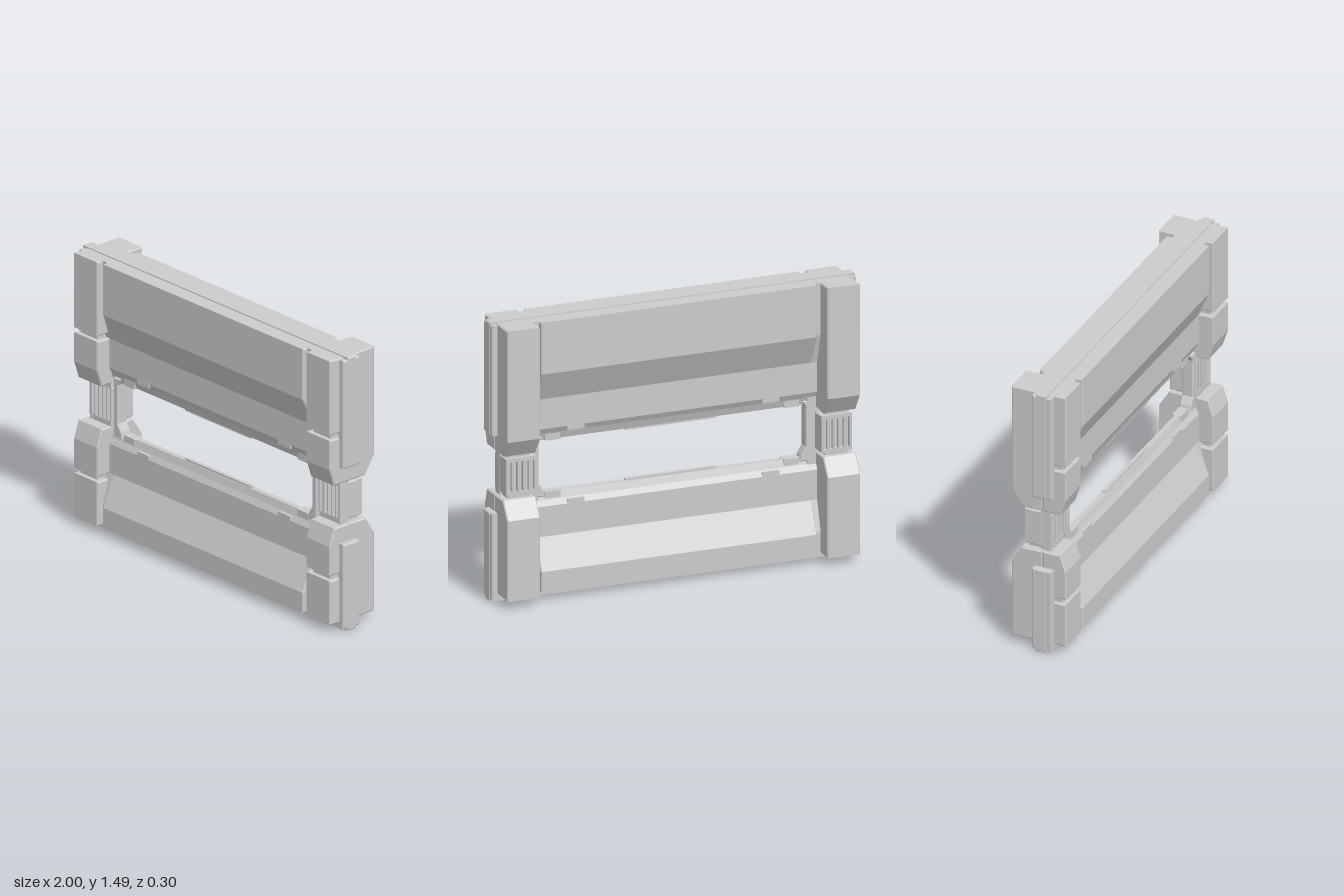
import * as THREE from 'three';

const MID = 0.6825; // height of the opening's centre line
const mat = new THREE.MeshStandardMaterial({ color: 0xcccccc });

// Side profile of [z, distance from centre line] swept along x with a small bevel
function sweep(parent, name, profile, x0, x1, dir = 1, b = 0.006) {
  const shape = new THREE.Shape(profile.map(([z, d]) => new THREE.Vector2(-z, MID + dir * d)));
  const geo = new THREE.ExtrudeGeometry(shape, {
    depth: x1 - x0 - 2 * b, bevelEnabled: b > 0, bevelThickness: b,
    bevelSize: b, bevelOffset: -b, bevelSegments: 1,
  });
  geo.translate(0, 0, x0 + b).rotateY(Math.PI / 2);
  const mesh = new THREE.Mesh(geo, mat);
  mesh.name = name;
  parent.add(mesh);
}

const rect = (z0, z1, d0, d1) => [[z0, d0], [z1, d0], [z1, d1], [z0, d1]];

// Sweeps the same profile on the left (+x) and right (-x)
function pair(parent, name, profile, x0, x1, dir, b) {
  sweep(parent, name + 'Left', profile, x0, x1, dir, b);
  sweep(parent, name + 'Right', profile, -x1, -x0, dir, b);
}

// One half of the frame: dir +1 goes up, -1 goes down
function buildHalf(name, dir, coreEnd, panelEnd) {
  const g = new THREE.Group();
  g.name = name;

  // Core plate and the thicker rim round its ends
  sweep(g, 'corePlate', rect(0, 0.06, 0.2075, coreEnd), -1, 1, dir);
  pair(g, 'sideRim', rect(-0.022, 0.088, 0.2075, coreEnd - 0.012), 0.955, 0.997, dir);
  sweep(g, 'endRim', rect(-0.022, 0.088, panelEnd - 0.05, coreEnd - 0.012), -0.99, 0.99, dir);

  // Long panel: thick outer band, slope, recessed band, tapered rail
  const panel = (out) => [
    [0.145 - out, panelEnd], [0.145 - out, 0.5275], [0.07, 0.3675], [0.07, 0.2075],
    [0.055, 0.178], [0.043, 0.14], [0.015, 0.14], [0.002, 0.178],
    [-0.014, 0.2075], [-0.014, 0.3675], [-0.09 + out, 0.5275], [-0.09 + out, panelEnd],
  ];
  sweep(g, 'longPanel', panel(0), -0.755, 0.755, dir);
  pair(g, 'panelGroove', panel(0.03), 0.74, 0.81, dir, 0.002);

  // Front pillars in two blocks with a neck between
  pair(g, 'frontPillarOuter', rect(0.02, 0.152, 0.398, panelEnd), 0.785, 0.965, dir);
  pair(g, 'frontPillarNeck', rect(0.02, 0.128, 0.35, 0.42), 0.81, 0.945, dir);
  pair(g, 'frontPillarInner',
    [[0.02, 0.1175], [0.122, 0.1175], [0.152, 0.21], [0.152, 0.37], [0.02, 0.37]],
    0.785, 0.965, dir);

  // Back pillars in one piece
  pair(g, 'backPillar',
    [[0.02, 0.1175], [-0.092, 0.1175], [-0.152, 0.21], [-0.152, panelEnd], [0.02, panelEnd]],
    0.785, 0.965, dir);

  // Small tabs and a centre strip on the rail
  for (const z of [0.056, -0.014]) {
    pair(g, 'railTab', rect(z, z + 0.016, 0.184, 0.209), 0.485, 0.58, dir, 0.003);
  }
  pair(g, 'railEndTab', rect(0.003, 0.055, 0.137, 0.172), 0.61, 0.695, dir, 0.003);
  sweep(g, 'railStrip', rect(0.02, 0.04, 0.13, 0.15), -0.25, 0.25, dir, 0.002);
  return g;
}

// Ribbed link joining the halves beside the opening
function buildLinks() {
  const g = new THREE.Group();
  g.name = 'links';

  // Web, edge strip and front ribs
  pair(g, 'linkWeb', rect(0, 0.04, -0.18, 0.18), 0.735, 0.935, 1, 0.002);
  pair(g, 'linkEdge', rect(0, 0.063, -0.18, 0.18), 0.922, 0.945);
  for (const s of [1, -1]) {
    pair(g, 'frontRibEnd', rect(0.03, 0.06, 0.088, 0.125), 0.785, 0.93, s, 0.004);
  }

  // Back block with a neck at each end and a rim round its ribs
  pair(g, 'backNeck', rect(-0.07, 0.01, -0.13, 0.13), 0.805, 0.93);
  pair(g, 'backBlock', rect(-0.07, 0.01, -0.1, 0.1), 0.778, 0.945);
  for (const s of [1, -1]) {
    pair(g, 'backBlockRim', rect(-0.088, -0.05, 0.08, 0.1), 0.778, 0.945, s, 0.004);
  }
  for (let i = 0; i < 6; i++) {
    const x = 0.778 + i * 0.0306;
    pair(g, 'frontRib', rect(0.03, 0.062, -0.095, 0.095), x, x + 0.014, 1, 0.003);
    pair(g, 'backRib', rect(-0.088, -0.05, -0.095, 0.095), x, x + 0.014, 1, 0.003);
  }

  // Inner post, flared where it meets the rails
  for (const s of [1, -1]) {
    const pts = [[0.765, -0.16], [0.695, -0.16], [0.705, -0.125], [0.73, -0.085],
      [0.73, 0.125], [0.71, 0.16], [0.765, 0.16]];
    const shape = new THREE.Shape(pts.map(([x, d]) => new THREE.Vector2(s * x, MID + d)));
    const geo = new THREE.ExtrudeGeometry(shape, {
      depth: 0.053, bevelThickness: 0.005, bevelSize: 0.005, bevelOffset: -0.005, bevelSegments: 1,
    });
    geo.translate(0, 0, 0.005);
    const post = new THREE.Mesh(geo, mat);
    post.name = s > 0 ? 'innerPostLeft' : 'innerPostRight';
    g.add(post);
  }
  return g;
}

export function createModel() {
  const model = new THREE.Group();
  model.name = 'panelFrame';
  model.add(
    buildHalf('upperHalf', 1, 0.8095, 0.804),
    buildHalf('lowerHalf', -1, MID, 0.64),
    buildLinks(),
  );
  return model;
}
